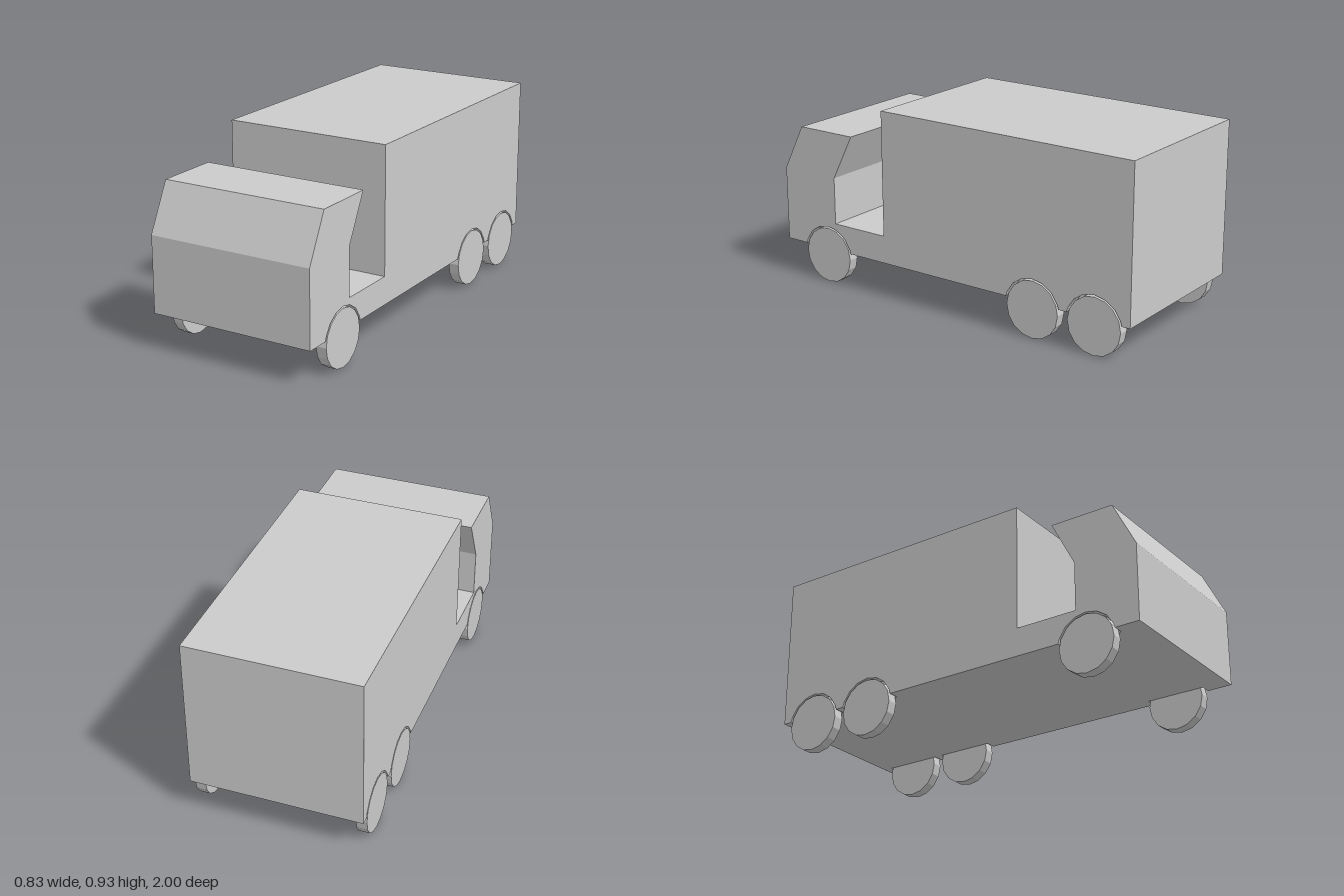
import * as THREE from 'three';

const HALF_WIDTH = 0.413, WHEEL_WIDTH = 0.052, WHEEL_R = 0.139, ARCH_R = 0.148;
const FLOOR_Y = 0.173, SIDES = 16;
const AXLES = [-0.814, -0.485, 0.735]; // z of each axle, back to front

// Side outline as (z, y): cab, open gap and cargo box; arches are optional
function sideOutline(withArches) {
  const pts = [[-1, FLOOR_Y]];
  if (withArches) {
    const start = Math.asin((FLOOR_Y - WHEEL_R) / ARCH_R);
    for (const z of AXLES) {
      const angles = [Math.PI - start];
      for (let k = SIDES / 2 - 1; k >= 1; k--) angles.push((k * 2 * Math.PI) / SIDES);
      angles.push(start);
      for (const a of angles) pts.push([z + ARCH_R * Math.cos(a), WHEEL_R + ARCH_R * Math.sin(a)]);
    }
  }
  pts.push(
    [1, FLOOR_Y], [1, 0.543], [0.885, 0.769], [0.568, 0.769], // cab
    [0.684, 0.543], [0.684, 0.31], [0.378, 0.31],             // gap behind the cab
    [0.378, 0.926], [-1, 0.926]                               // cargo box
  );
  return new THREE.Shape(pts.map(([z, y]) => new THREE.Vector2(z, y)));
}

// Extrude an outline across the truck from x0 to x1
function slab(outline, x0, x1) {
  const geo = new THREE.ExtrudeGeometry(outline, { depth: x1 - x0, bevelEnabled: false });
  geo.rotateY(-Math.PI / 2);
  geo.translate(x1, 0, 0);
  return geo;
}

export function createModel() {
  const truck = new THREE.Group();
  truck.name = 'boxTruck';
  const material = new THREE.MeshStandardMaterial({ color: 0xcccccc, flatShading: true });
  const add = (geometry, name) => {
    const mesh = new THREE.Mesh(geometry, material);
    mesh.name = name;
    truck.add(mesh);
    return mesh;
  };

  // Body: solid centre, with side panels notched for the wheels
  const inner = HALF_WIDTH - WHEEL_WIDTH;
  add(slab(sideOutline(false), -inner, inner), 'bodyCentre');
  add(slab(sideOutline(true), inner, HALF_WIDTH), 'leftBodySide');
  add(slab(sideOutline(true), -HALF_WIDTH, -inner), 'rightBodySide');

  // Wheels, flush with the body sides
  const wheelGeo = new THREE.CylinderGeometry(WHEEL_R, WHEEL_R, WHEEL_WIDTH, SIDES);
  wheelGeo.rotateZ(Math.PI / 2);
  const axleNames = ['Rear', 'Middle', 'Front'];
  AXLES.forEach((z, i) => {
    for (const side of [1, -1]) {
      const wheel = add(wheelGeo, `${side > 0 ? 'left' : 'right'}${axleNames[i]}Wheel`);
      wheel.position.set(side * (HALF_WIDTH - WHEEL_WIDTH / 2), WHEEL_R, z);
    }
  });

  return truck;
}
